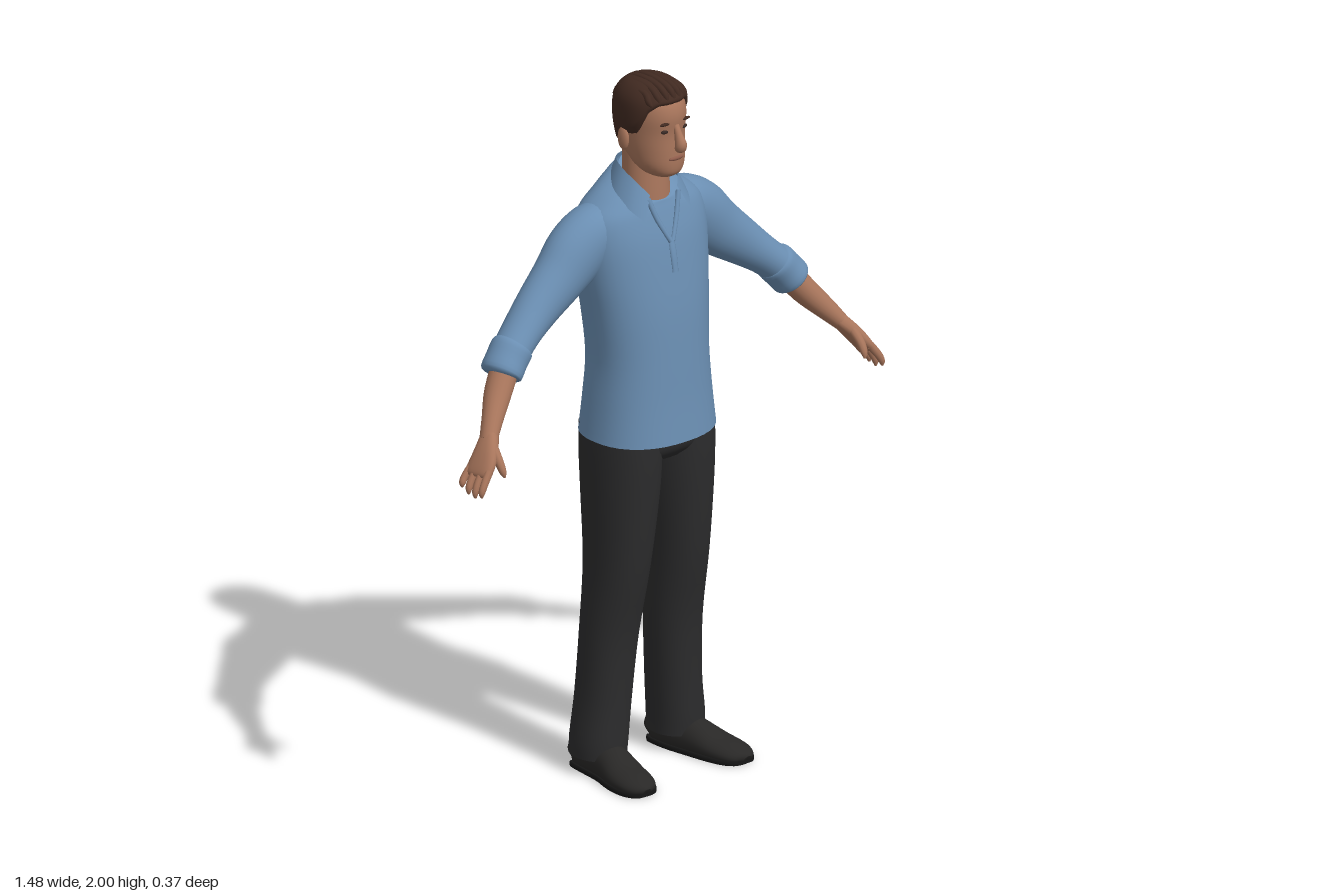
import * as THREE from 'three';

const V = (x, y, z) => new THREE.Vector3(x, y, z);
const paint = (name, color) => Object.assign(new THREE.MeshStandardMaterial({ color }), { name });

// Catmull-Rom smoothing of every column of a section table
function smooth(rows, steps) {
  const out = [], at = i => rows[Math.max(0, Math.min(rows.length - 1, i))];
  for (let i = 0; i < rows.length - 1; i++) {
    const [a, b, c, d] = [at(i - 1), at(i), at(i + 1), at(i + 2)];
    for (let k = 0; k < steps; k++) {
      const t = k / steps;
      out.push(b.map((p, m) => {
        const cubic = 3 * (p - c[m]) + d[m] - a[m], square = 2 * a[m] - 5 * p + 4 * c[m] - d[m];
        return p + 0.5 * t * (c[m] - a[m] + t * (square + t * cubic));
      }));
    }
  }
  out.push(rows[rows.length - 1]);
  return out;
}

function surface(pos, idx) {
  const g = new THREE.BufferGeometry();
  g.setAttribute('position', new THREE.Float32BufferAttribute(pos, 3));
  g.setIndex(idx);
  g.computeVertexNormals();
  return g;
}

// Closed skin over rings of points, with flat end caps
function skin(rings) {
  const n = rings[0].length, pos = [], idx = [];
  rings.forEach(r => r.forEach(p => pos.push(p.x, p.y, p.z)));
  for (let j = 0; j < rings.length - 1; j++) for (let i = 0; i < n; i++) {
    const a = j * n + i, b = j * n + (i + 1) % n;
    idx.push(a, b, b + n, a, b + n, a + n);
  }
  [rings[0], rings[rings.length - 1]].forEach((r, end) => {
    const base = pos.length / 3, c = V(0, 0, 0);
    r.forEach(p => { pos.push(p.x, p.y, p.z); c.addScaledVector(p, 1 / n); });
    pos.push(c.x, c.y, c.z);
    for (let i = 0; i < n; i++) {
      const a = base + i, b = base + (i + 1) % n;
      if (end) idx.push(a, b, base + n); else idx.push(b, a, base + n);
    }
  });
  return surface(pos, idx);
}

const pw = (c, p) => Math.sign(c) * Math.abs(c) ** (2 / p);
const angles = n => Array.from({ length: n }, (_, i) => i / n * Math.PI * 2);

// Upright loft, bottom to top; rows are [y, centre x, centre z, radius x, radius z, front tilt]
function upright(rows, n = 32, p = 2.2) {
  return skin(smooth(rows, 4).map(([y, cx, cz, rx, rz, tilt]) => angles(n).map(a =>
    V(cx + rx * pw(Math.sin(a), p), y + (tilt || 0) * Math.cos(a), cz + rz * pw(Math.cos(a), p)))));
}

// Loft along a path; rows are [x, y, z, radius along hint, radius across]
function along(rows, hint, n = 20, steps = 4, p = 2) {
  const s = smooth(rows, steps);
  return skin(s.map(([x, y, z, r1, r2], j) => {
    const q = s[Math.max(0, j - 1)], w = s[Math.min(s.length - 1, j + 1)];
    const t = V(w[0] - q[0], w[1] - q[1], w[2] - q[2]).normalize();
    const e1 = hint.clone().addScaledVector(t, -hint.dot(t)).normalize(), e2 = t.clone().cross(e1);
    return angles(n).map(a => V(x, y, z).addScaledVector(e1, r1 * pw(Math.cos(a), p)).addScaledVector(e2, r2 * pw(Math.sin(a), p)));
  }));
}

function mirrored(geo) {
  const g = geo.clone().scale(-1, 1, 1), ix = g.index.array;
  for (let i = 0; i < ix.length; i += 3) [ix[i], ix[i + 1]] = [ix[i + 1], ix[i]];
  g.computeVertexNormals();
  return g;
}

const blob = (x, y, z, rx, ry, rz) => new THREE.SphereGeometry(1, 16, 10).scale(rx, ry, rz).translate(x, y, z);

export function createModel() {
  const model = new THREE.Group();
  const shirt = paint('shirt blue', 0x6b8fb3), skinTone = paint('skin', 0xa9765c), hair = paint('hair brown', 0x412a21);
  const trousers = paint('trouser charcoal', 0x2c2c2d), leather = paint('shoe leather', 0x292827), rubber = paint('sole black', 0x161616);
  const lip = paint('lips', 0x8f5c4b), eyeDark = paint('eyes', 0x3a2b26);
  shirt.side = THREE.DoubleSide;
  const add = (name, geo, mat) => {
    const m = new THREE.Mesh(geo, mat);
    m.name = name;
    model.add(m);
  };
  const pair = (name, geo, mat) => { add(name + 'Left', geo, mat); add(name + 'Right', mirrored(geo), mat); };
  const Z = V(0, 0, 1), Y = V(0, 1, 0);

  // Shirt body
  add('shirtBody', upright([
    [0.975, 0, -0.02, 0.195, 0.158, -0.005], [1.08, 0, -0.02, 0.184, 0.148, 0], [1.2, 0, -0.02, 0.176, 0.14, 0],
    [1.33, 0, -0.03, 0.186, 0.14, 0], [1.44, 0, -0.043, 0.2, 0.138, 0], [1.54, 0, -0.053, 0.208, 0.13, 0],
    [1.61, 0, -0.055, 0.195, 0.112, -0.005], [1.655, 0, -0.048, 0.145, 0.094, -0.02],
    [1.685, 0, -0.038, 0.095, 0.08, -0.04], [1.695, 0, -0.03, 0.07, 0.066, -0.05]], 40, 2.3), shirt);

  // Sleeves with rolled cuffs
  pair('sleeve', along([
    [0.08, 1.6, -0.055, 0.07, 0.05], [0.15, 1.565, -0.062, 0.08, 0.085], [0.22, 1.52, -0.065, 0.077, 0.093],
    [0.29, 1.462, -0.062, 0.068, 0.08], [0.37, 1.402, -0.056, 0.061, 0.066], [0.44, 1.348, -0.045, 0.057, 0.054],
    [0.5, 1.298, -0.032, 0.055, 0.05]], Z, 28), shirt);
  pair('sleeveCuff', along([
    [0.472, 1.326, -0.037, 0.05, 0.045], [0.48, 1.318, -0.036, 0.061, 0.056], [0.505, 1.291, -0.031, 0.06, 0.056],
    [0.53, 1.262, -0.025, 0.061, 0.055], [0.534, 1.257, -0.024, 0.048, 0.042]], Z, 28, 3), shirt);

  // Forearms, palms, fingers and thumbs
  pair('forearm', along([
    [0.5, 1.298, -0.03, 0.04, 0.04], [0.56, 1.222, -0.004, 0.039, 0.037], [0.61, 1.165, 0.028, 0.03, 0.03],
    [0.65, 1.118, 0.054, 0.026, 0.022]], Z), skinTone);
  pair('palm', along([
    [0.638, 1.132, 0.048, 0.024, 0.021], [0.665, 1.1, 0.064, 0.036, 0.021], [0.69, 1.068, 0.074, 0.045, 0.018],
    [0.708, 1.045, 0.077, 0.044, 0.013], [0.713, 1.037, 0.078, 0.03, 0.007]], Z, 20, 4, 2.5), skinTone);
  [0.042, 0.055, 0.06, 0.052].forEach((drop, k) => {
    const z = 0.042 + k * 0.023, zEnd = z + (k - 1) * 0.003;
    pair('finger' + (k + 1), along([
      [0.698, 1.058, z, 0.011, 0.012], [0.722, 1.045 - drop * 0.35, zEnd, 0.01, 0.011],
      [0.733, 1.045 - drop * 0.75, zEnd + 0.002, 0.009, 0.009], [0.733, 1.045 - drop, zEnd + 0.003, 0.003, 0.003]], Z, 10, 3), skinTone);
  });
  pair('thumb', along([
    [0.658, 1.108, 0.082, 0.015, 0.014], [0.662, 1.08, 0.108, 0.013, 0.013],
    [0.662, 1.052, 0.126, 0.01, 0.01], [0.66, 1.036, 0.131, 0.003, 0.003]], V(1, 0, 0), 10, 3), skinTone);

  // Trousers
  add('trouserSeat', upright([[0.905, 0, -0.02, 0.12, 0.09], [0.935, 0, -0.021, 0.175, 0.12], [0.98, 0, -0.022, 0.188, 0.13],
    [1.05, 0, -0.022, 0.17, 0.125]], 32, 2.5), trousers);
  pair('trouserLeg', upright([
    [0.05, 0.142, -0.062, 0.074, 0.08], [0.1, 0.14, -0.06, 0.075, 0.082], [0.22, 0.128, -0.056, 0.073, 0.08],
    [0.4, 0.117, -0.045, 0.077, 0.082], [0.6, 0.108, -0.024, 0.079, 0.1], [0.8, 0.1, -0.02, 0.091, 0.118],
    [0.92, 0.097, -0.021, 0.094, 0.127], [1.0, 0.096, -0.022, 0.092, 0.128]], 28), trousers);

  // Shoes: rows of z, centre x, half width, height
  const foot = [[-0.138, 0.14, 0.026, 0.05], [-0.125, 0.14, 0.042, 0.085], [-0.06, 0.144, 0.05, 0.1], [0.01, 0.153, 0.052, 0.092],
    [0.08, 0.168, 0.058, 0.064], [0.135, 0.178, 0.054, 0.05], [0.168, 0.183, 0.038, 0.038], [0.18, 0.184, 0.016, 0.025]];
  const clampY = (g, lo, hi) => {
    const p = g.attributes.position;
    for (let i = 0; i < p.count; i++) p.setY(i, Math.min(hi, Math.max(lo, p.getY(i))));
    g.computeVertexNormals();
    return g;
  };
  pair('shoe', clampY(along(foot.map(([z, x, w, h]) => [x, h * 0.4, z, h * 0.6, w]), Y, 24), 0.01, 1), leather);
  pair('shoeSole', clampY(along(foot.map(([z, x, w]) => [x, 0.006, z, 0.03, w + 0.003]), Y, 24, 4, 3), 0, 0.013), rubber);

  // Neck, head and face
  add('neck', upright([[1.58, 0, -0.025, 0.078, 0.07], [1.66, 0, -0.025, 0.068, 0.064], [1.74, 0, -0.028, 0.064, 0.06],
    [1.8, 0, -0.03, 0.062, 0.06]], 28, 2), skinTone);
  const skull = [[1.722, 0.075, -0.01, 0.03], [1.735, 0.094, -0.03, 0.05], [1.76, 0.1, -0.06, 0.067], [1.8, 0.1, -0.092, 0.076],
    [1.85, 0.098, -0.108, 0.081], [1.9, 0.102, -0.112, 0.083], [1.94, 0.09, -0.102, 0.078], [1.967, 0.062, -0.08, 0.06],
    [1.98, 0.034, -0.055, 0.038], [1.986, 0.002, -0.02, 0.006]].map(([y, f, b, rx]) => [y, 0, (f + b) / 2, rx, (f - b) / 2]);
  add('head', upright(skull, 32, 2.1), skinTone);
  add('nose', along([[0, 1.878, 0.096, 0.006, 0.009], [0, 1.85, 0.106, 0.012, 0.011], [0, 1.823, 0.116, 0.018, 0.016],
    [0, 1.81, 0.108, 0.012, 0.014]], Z, 14), skinTone);
  pair('ear', blob(0.085, 1.828, -0.022, 0.011, 0.034, 0.02), skinTone);
  pair('eye', blob(0.033, 1.863, 0.0885, 0.014, 0.006, 0.006), eyeDark);
  pair('eyebrow', blob(0.035, 1.886, 0.092, 0.02, 0.0045, 0.006), hair);
  add('mouth', blob(0, 1.782, 0.097, 0.027, 0.007, 0.007), lip);

  // Hair cap following the skull, with a hairline that drops behind the temples
  const hairline = [[0, 1.937], [0.6, 1.935], [0.95, 1.915], [1.25, 1.85], [1.6, 1.84], [1.9, 1.8], [2.3, 1.775], [3.15, 1.768]];
  const lookup = (rows, x) => {
    let i = 1;
    while (i < rows.length - 1 && rows[i][0] < x) i++;
    const [a, b] = [rows[i - 1], rows[i]], t = Math.min(1, Math.max(0, (x - a[0]) / (b[0] - a[0])));
    return a.map((v, k) => v + (b[k] - v) * t);
  };
  const fine = smooth(skull, 5);
  const hairRing = (_, j) => angles(48).map(a => {
    const low = lookup(hairline, Math.min(a, Math.PI * 2 - a))[1], t = Math.sin(j / 18 * Math.PI / 2);
    const y = low + (1.986 - low) * t, [, , cz, rx, rz] = lookup(fine, y);
    const grow = 0.011 * Math.min(1, j / 2) - 0.002;
    return V((rx + grow) * pw(Math.sin(a), 2.1), y + 0.007 * t, cz + (rz + grow) * pw(Math.cos(a), 2.1));
  });
  add('hairCap', skin(Array.from({ length: 19 }, hairRing)), hair);

  // Combed locks over the crown
  for (let k = -3; k <= 3; k++) {
    const x = k * 0.019, d = 0.0022 * k * k;
    add('hairLock' + (k + 4), along([[x * 1.1, 1.945 - d * 0.4, 0.088 - d, 0.004, 0.004], [x * 1.1, 1.967 - d, 0.075 - d, 0.011, 0.01],
      [x, 1.984 - d, 0.035, 0.01, 0.011], [x, 1.989 - d, -0.025, 0.009, 0.011], [x * 0.9, 1.974 - d, -0.075, 0.008, 0.01],
      [x * 0.8, 1.945 - d, -0.103, 0.003, 0.004]], Y, 10, 3), hair);
  }

  // Folded collar: half strip from the nape to the front point
  const fold = smooth([[0, 1.752, -0.102, 0, 1.695, -0.122], [0.055, 1.75, -0.085, 0.07, 1.69, -0.1],
    [0.08, 1.738, -0.035, 0.108, 1.672, -0.04], [0.075, 1.71, 0.015, 0.108, 1.64, 0.022],
    [0.05, 1.672, 0.046, 0.082, 1.605, 0.066]], 5);
  const strip = [];
  for (let j = 2; j < fold.length * 2; j += 2) strip.push(j - 2, j - 1, j + 1, j - 2, j + 1, j);
  pair('collar', surface(fold.flat(), strip), shirt);

  // Open neckline edges and short placket
  pair('necklineEdge', along([[0.055, 1.66, 0.045, 0.006, 0.008], [0.035, 1.6, 0.06, 0.006, 0.008], [0.004, 1.535, 0.079, 0.006, 0.007]], Z, 10), shirt);
  add('placket', along([[0, 1.545, 0.074, 0.005, 0.011], [0, 1.5, 0.086, 0.005, 0.011], [0, 1.45, 0.094, 0.005, 0.01]], Z, 10), shirt);
  return model;
}
